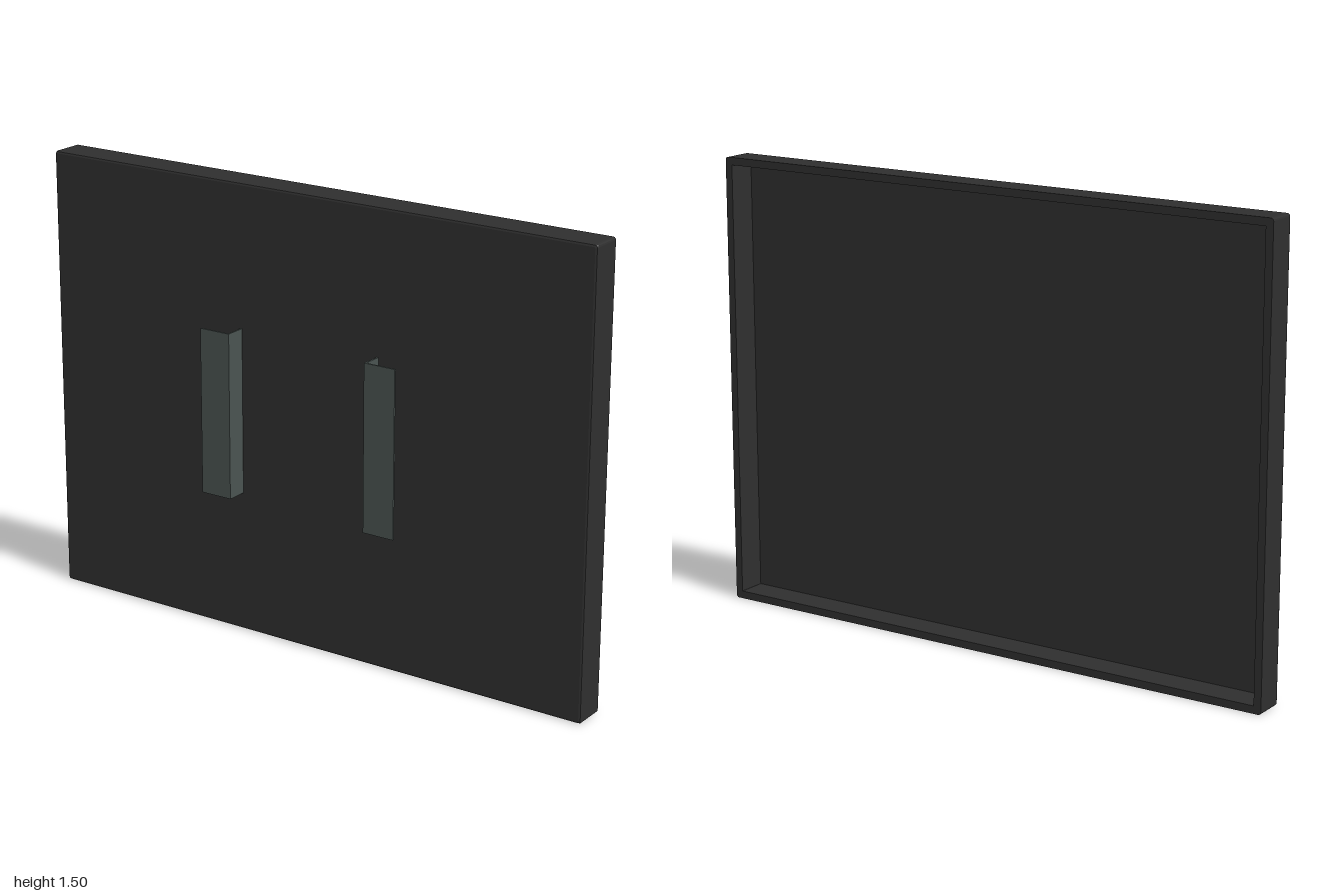
import * as THREE from 'three';

const panelMat = new THREE.MeshStandardMaterial({ color: 0x2f2f2f });
panelMat.name = 'charcoal';
const bracketMat = new THREE.MeshStandardMaterial({ color: 0x4a5351 });
bracketMat.name = 'grey green steel';

const HEIGHT = 1.495, CY = HEIGHT / 2;
const BACK = -0.088, FRONT = 0.018;

// Rectangle loop (counter-clockwise from the front) with rounded corners
function ring(hw, hh, z, r) {
  const pts = [];
  const corners = [[1, 1], [-1, 1], [-1, -1], [1, -1]];
  corners.forEach(([sx, sy], c) => {
    for (let i = 0; i <= 3; i++) {
      const a = (c + i / 3) * Math.PI / 2;
      pts.push(new THREE.Vector3(
        sx * (hw - r) + r * Math.cos(a), CY + sy * (hh - r) + r * Math.sin(a), z));
    }
  });
  return pts;
}

// Skin between successive loops, closed by a flat fan at each end
function loft(rings) {
  const pos = [];
  const tri = (a, b, c) => pos.push(...a.toArray(), ...b.toArray(), ...c.toArray());
  const n = rings[0].length;
  const first = rings[0], last = rings[rings.length - 1];
  const c0 = new THREE.Vector3(0, CY, first[0].z), c1 = new THREE.Vector3(0, CY, last[0].z);
  for (let i = 0; i < n; i++) {
    const j = (i + 1) % n;
    tri(c0, first[j], first[i]);
    tri(c1, last[i], last[j]);
    for (let k = 0; k < rings.length - 1; k++) {
      const p = rings[k], q = rings[k + 1];
      tri(p[i], p[j], q[j]);
      tri(p[i], q[j], q[i]);
    }
  }
  const g = new THREE.BufferGeometry();
  g.setAttribute('position', new THREE.Float32BufferAttribute(pos, 3));
  g.computeVertexNormals();
  return g;
}

export function createModel() {
  const model = new THREE.Group();
  model.name = 'wallPanel';

  // Shallow tray: recessed back, rim, side walls, softened front edge
  const rim = 0.025, sheet = 0.009, bevel = 0.008;
  const tray = new THREE.Mesh(loft([
    ring(1 - rim, CY - rim, FRONT - sheet, 0.001),
    ring(1 - rim, CY - rim, BACK, 0.001),
    ring(1, CY, BACK, 0.009),
    ring(1, CY, FRONT - bevel, 0.009),
    ring(1 - bevel * 0.3, CY - bevel * 0.3, FRONT - bevel * 0.3, 0.008),
    ring(1 - bevel, CY - bevel, FRONT, 0.004),
  ]), panelMat);
  tray.name = 'panelTray';
  model.add(tray);

  // Mirrored L-shaped brackets on the front
  const t = 0.006, x0 = 0.254, x1 = 0.365, z1 = 0.088, h = 0.55;
  for (const side of [1, -1]) {
    const shape = new THREE.Shape([
      [x0, FRONT], [x0 + t, FRONT], [x0 + t, z1 - t], [x1, z1 - t], [x1, z1], [x0, z1],
    ].map(([x, z]) => new THREE.Vector2(side * x, -z)));
    const geo = new THREE.ExtrudeGeometry(shape, { depth: h, bevelEnabled: false });
    geo.rotateX(-Math.PI / 2);
    const bracket = new THREE.Mesh(geo, bracketMat);
    bracket.name = side > 0 ? 'leftBracket' : 'rightBracket';
    bracket.position.y = 0.475;
    model.add(bracket);
  }
  return model;
}
